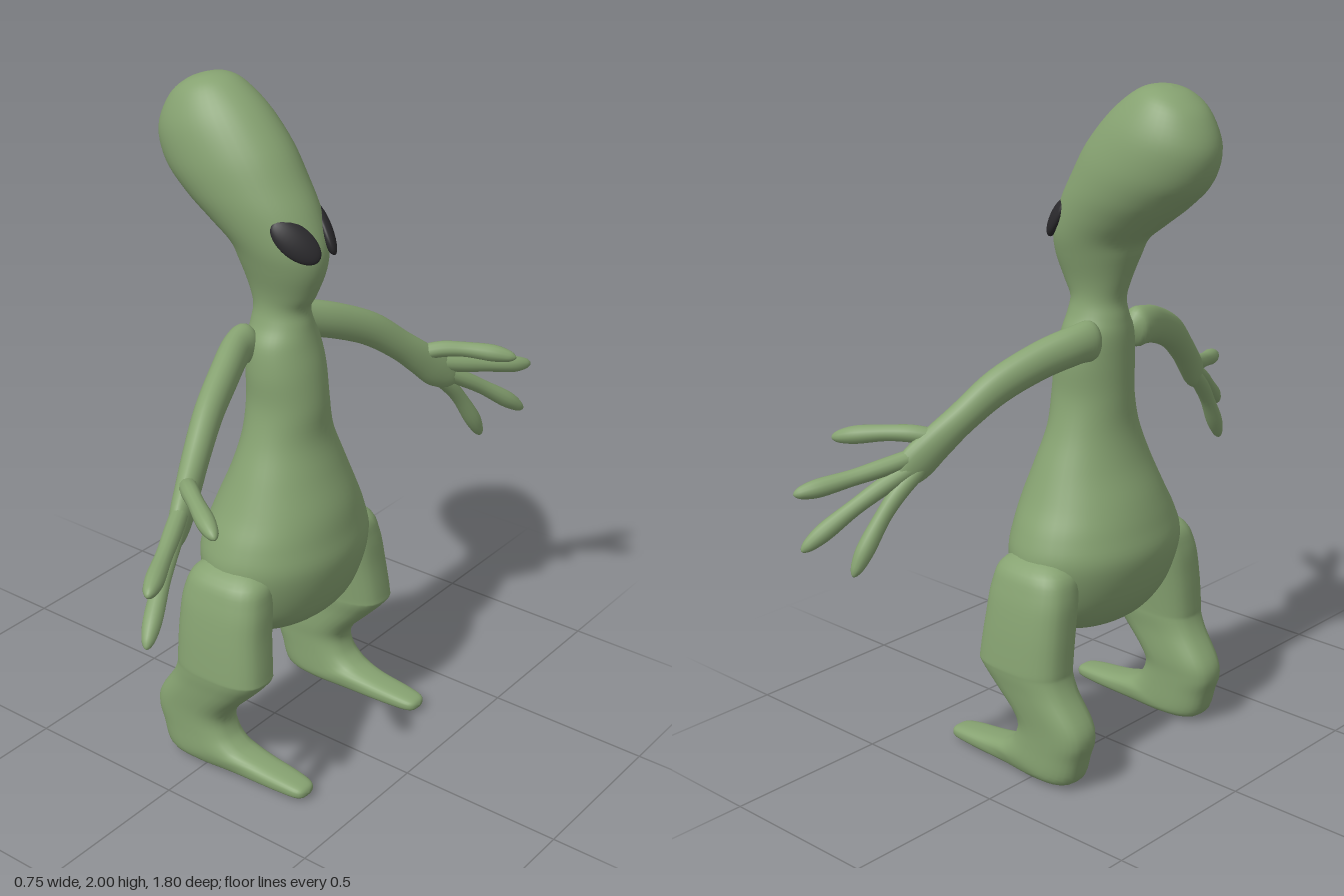
import * as THREE from 'three';

const skin = new THREE.MeshStandardMaterial({ color: 0x86a271 });
const dark = new THREE.MeshStandardMaterial({ color: 0x2b2a2d });

// Catmull-Rom interpolation of rows of numbers, k steps per span
function smoothRows(rows, k) {
  const out = [], n = rows.length;
  const at = i => rows[Math.min(n - 1, Math.max(0, i))];
  for (let i = 0; i < n - 1; i++) {
    for (let s = 0; s < k; s++) {
      const t = s / k;
      out.push(rows[i].map((p1, c) => {
        const p0 = at(i - 1)[c], p2 = at(i + 1)[c], p3 = at(i + 2)[c];
        return p1 + 0.5 * t * (p2 - p0 + t * (2 * p0 - 5 * p1 + 4 * p2 - p3 + t * (3 * (p1 - p2) + p3 - p0)));
      }));
    }
  }
  out.push(rows[n - 1]);
  return out;
}

// Skin a list of rings {c, a, b}: centre and two half axes; power < 1 makes the section boxier
function skinRings(rings, sides, power = 1) {
  const pos = [], idx = [];
  const bend = v => Math.sign(v) * Math.abs(v) ** power;
  rings.forEach(({ c, a, b }, i) => {
    for (let j = 0; j < sides; j++) {
      const t = (j / sides) * Math.PI * 2;
      const p = c.clone().addScaledVector(a, bend(Math.cos(t))).addScaledVector(b, bend(Math.sin(t)));
      pos.push(p.x, p.y, p.z);
      if (i === rings.length - 1) continue;
      const p0 = i * sides + j, p1 = i * sides + (j + 1) % sides;
      idx.push(p0, p0 + sides, p1, p1, p0 + sides, p1 + sides);
    }
  });
  const g = new THREE.BufferGeometry();
  g.setAttribute('position', new THREE.Float32BufferAttribute(pos, 3));
  g.setIndex(idx);
  g.computeVertexNormals();
  return g;
}

// Rows: back x, back y, front x, front y, centre z, half width
function profileLoft(rows, sides, power) {
  return skinRings(smoothRows(rows, 5).map(([bx, by, fx, fy, z, w]) => ({
    c: new THREE.Vector3((bx + fx) / 2, (by + fy) / 2, z),
    a: new THREE.Vector3((fx - bx) / 2, (fy - by) / 2, 0),
    b: new THREE.Vector3(0, 0, Math.max(0, w)),
  })), sides, power);
}

// Rows: x, y, z, half height, half thickness along a free path
function limbLoft(rows, sides) {
  const pts = smoothRows(rows, 5), vec = r => new THREE.Vector3(r[0], r[1], r[2]);
  return skinRings(pts.map((r, i) => {
    const dir = vec(pts[Math.min(i + 1, pts.length - 1)]).sub(vec(pts[Math.max(i - 1, 0)])).normalize();
    const up = new THREE.Vector3(0, 1, 0).addScaledVector(dir, -dir.y).normalize();
    const side = up.clone().cross(dir);
    return { c: vec(r), a: up.multiplyScalar(Math.max(0, r[3])), b: side.multiplyScalar(Math.max(0, r[4])) };
  }), sides);
}

// Finger: thin at the root, fuller towards a rounded tip
function finger(root, mid, tip) {
  const curve = new THREE.QuadraticBezierCurve3(
    new THREE.Vector3(...root), new THREE.Vector3(...mid), new THREE.Vector3(...tip));
  const radii = [[0, 0.024], [0.3, 0.025], [0.55, 0.023], [0.8, 0.026], [0.93, 0.019], [0.985, 0.009], [1, 0]];
  return limbLoft(radii.map(([t, r]) => [...curve.getPoint(t).toArray(), r, r]), 12);
}

function mirrored(geo) {
  const g = geo.clone().scale(1, 1, -1), a = g.index.array;
  for (let i = 0; i < a.length; i += 3) [a[i], a[i + 1]] = [a[i + 1], a[i]];
  return g;
}

export function createModel() {
  const model = new THREE.Group();
  const add = (name, geo, mat = skin) => {
    const m = new THREE.Mesh(geo, mat);
    m.name = name;
    model.add(m);
  };
  const addPair = (name, geo, mat) => {
    add(name + 'A', geo, mat);
    add(name + 'B', mirrored(geo), mat);
  };

  // Pear-shaped torso, neck and long swept-back head in one skin
  add('bodyAndHead', profileLoft([
    [0.04, 0.40, 0.04, 0.40, 0, 0],
    [-0.05, 0.408, 0.13, 0.408, 0, 0.15],
    [-0.11, 0.46, 0.20, 0.46, 0, 0.23],
    [-0.155, 0.54, 0.24, 0.54, 0, 0.27],
    [-0.18, 0.64, 0.26, 0.64, 0, 0.29],
    [-0.165, 0.72, 0.25, 0.72, 0, 0.268],
    [-0.14, 0.80, 0.235, 0.80, 0, 0.228],
    [-0.10, 0.90, 0.20, 0.90, 0, 0.185],
    [-0.075, 1.00, 0.17, 1.00, 0, 0.145],
    [-0.07, 1.10, 0.165, 1.10, 0, 0.122],
    [-0.07, 1.20, 0.15, 1.20, 0, 0.122],
    [-0.07, 1.28, 0.13, 1.28, 0, 0.112],
    [-0.065, 1.33, 0.118, 1.335, 0, 0.085],
    [-0.06, 1.38, 0.112, 1.38, 0, 0.072],
    [-0.08, 1.44, 0.135, 1.425, 0, 0.077],
    [-0.11, 1.51, 0.163, 1.50, 0, 0.098],
    [-0.135, 1.56, 0.163, 1.57, 0, 0.116],
    [-0.20, 1.61, 0.13, 1.66, 0, 0.134],
    [-0.28, 1.67, 0.085, 1.74, 0, 0.147],
    [-0.35, 1.74, 0.03, 1.83, 0, 0.15],
    [-0.378, 1.83, -0.05, 1.92, 0, 0.135],
    [-0.345, 1.92, -0.13, 1.98, 0, 0.098],
    [-0.29, 1.972, -0.185, 1.998, 0, 0.055],
    [-0.235, 1.995, -0.235, 1.995, 0, 0],
  ], 40));

  // Legs from toe to hip: long flat foot, set-back ankle, forward knee
  addPair('leg', profileLoft([
    [0.35, 0.025, 0.35, 0.025, 0.283, 0],
    [0.335, 0.008, 0.338, 0.042, 0.283, 0.034],
    [0.26, 0.003, 0.29, 0.052, 0.282, 0.047],
    [0.08, 0, 0.20, 0.062, 0.282, 0.056],
    [-0.06, 0, 0.14, 0.073, 0.285, 0.068],
    [-0.145, 0.02, 0.105, 0.088, 0.288, 0.073],
    [-0.175, 0.10, 0.075, 0.115, 0.288, 0.073],
    [-0.19, 0.15, 0.06, 0.16, 0.288, 0.074],
    [-0.18, 0.20, 0.08, 0.205, 0.288, 0.077],
    [-0.13, 0.275, 0.15, 0.28, 0.292, 0.081],
    [-0.107, 0.325, 0.195, 0.332, 0.293, 0.087],
    [-0.105, 0.36, 0.198, 0.36, 0.292, 0.088],
    [-0.105, 0.47, 0.185, 0.47, 0.28, 0.088],
    [-0.10, 0.57, 0.175, 0.57, 0.262, 0.086],
    [-0.07, 0.64, 0.15, 0.64, 0.235, 0.078],
    [0.04, 0.69, 0.04, 0.69, 0.20, 0],
  ], 28, 0.75));

  // Arms spreading out and forward, ending in a tapered palm
  addPair('arm', limbLoft([
    [-0.035, 1.28, 0.06, 0, 0],
    [-0.03, 1.28, 0.09, 0.055, 0.04],
    [-0.02, 1.275, 0.15, 0.056, 0.042],
    [0.02, 1.245, 0.25, 0.054, 0.042],
    [0.065, 1.19, 0.37, 0.051, 0.04],
    [0.105, 1.115, 0.47, 0.046, 0.037],
    [0.135, 1.055, 0.54, 0.05, 0.034],
    [0.16, 1.00, 0.60, 0.052, 0.03],
    [0.18, 0.96, 0.645, 0.03, 0.02],
    [0.19, 0.945, 0.66, 0, 0],
  ], 20));

  // Hands: a forward thumb and three fanned fingers
  [
    ['thumb', [0.13, 1.07, 0.54], [0.20, 1.10, 0.61], [0.37, 1.06, 0.71]],
    ['upperFinger', [0.15, 1.03, 0.58], [0.23, 0.985, 0.74], [0.31, 0.96, 0.90]],
    ['middleFinger', [0.155, 1.00, 0.60], [0.22, 0.93, 0.74], [0.295, 0.80, 0.895]],
    ['lowerFinger', [0.15, 0.99, 0.59], [0.18, 0.92, 0.69], [0.205, 0.72, 0.795]],
  ].forEach(([name, ...path]) => addPair(name, finger(...path)));

  // Slanted flat oval eyes
  const long = new THREE.Vector3(0.11, -0.1, -0.062).normalize();
  const out = new THREE.Vector3(0.68, 0.35, 0.64);
  out.addScaledVector(long, -out.dot(long)).normalize();
  const eye = new THREE.SphereGeometry(1, 28, 18).scale(0.082, 0.045, 0.02);
  eye.applyMatrix4(new THREE.Matrix4()
    .makeBasis(long, out.clone().cross(long), out).setPosition(0.123, 1.602, 0.066));
  addPair('eye', eye, dark);

  return model;
}
